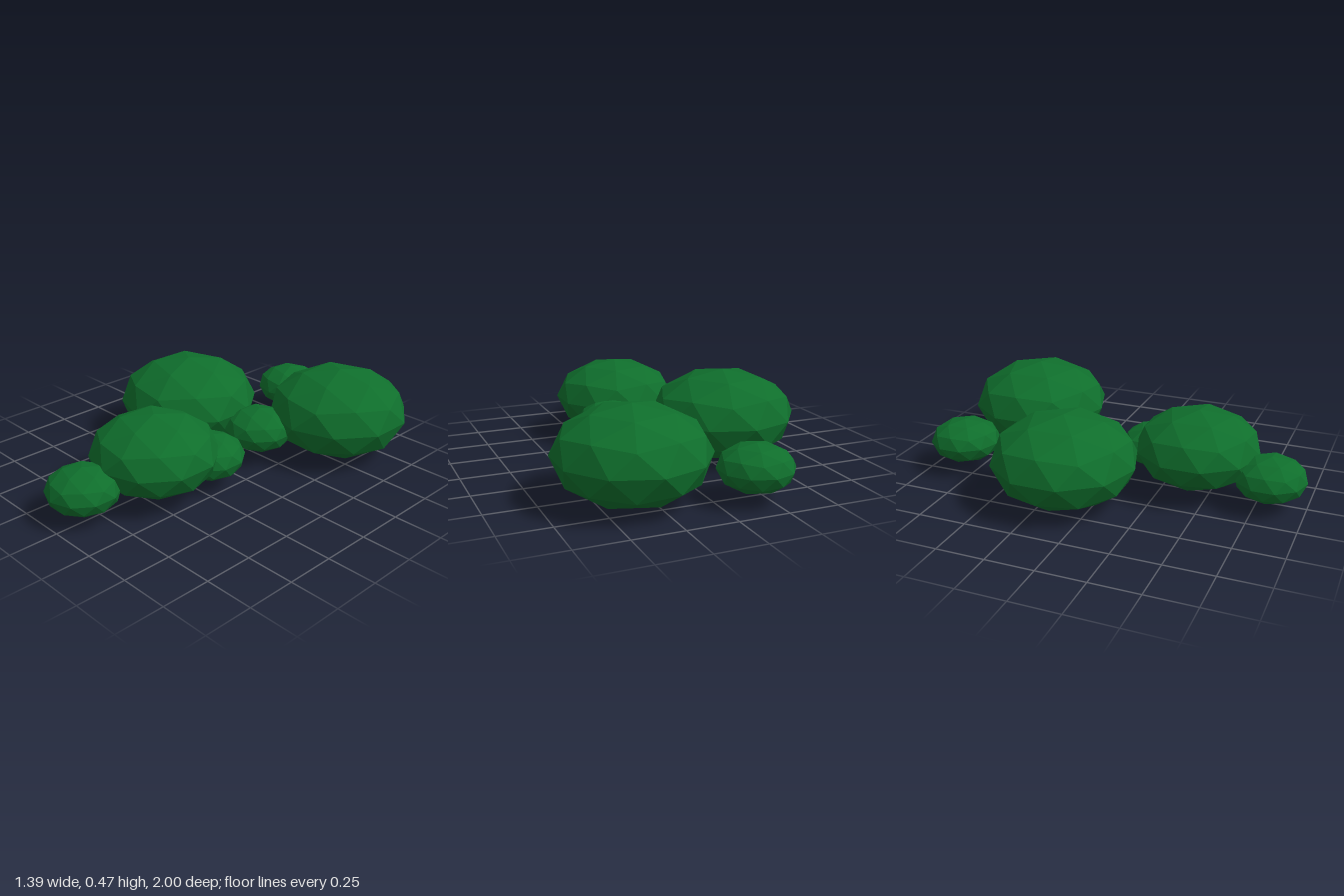
import * as THREE from 'three';

// Cluster of flattened low-poly bushes
export function createModel() {
  const group = new THREE.Group();
  const material = new THREE.MeshStandardMaterial({ color: 0x0f6e2c, flatShading: true });

  // Faceted ball turned so that one corner points straight up
  const ball = new THREE.IcosahedronGeometry(1, 1);
  ball.rotateZ(-Math.atan(2 / (1 + Math.sqrt(5))));

  const flatness = 0.625;
  const addBush = (name, radius, x, y, z) => {
    const bush = new THREE.Mesh(ball, material);
    bush.name = name;
    bush.scale.set(radius, radius * flatness, radius);
    bush.position.set(x, y, z);
    group.add(bush);
  };

  // Large bushes
  addBush('largeBushRight', 0.373, -0.345, 0.236, -0.152);
  addBush('largeBushLeft', 0.373, 0.34, 0.236, -0.613);
  addBush('mediumBush', 0.324, 0.033, 0.236, 0.423);

  // Small bushes
  addBush('smallBushFront', 0.184, -0.03, 0.157, 0.815);
  addBush('smallBushMiddle', 0.184, 0.145, 0.167, 0.163);
  addBush('smallBushInner', 0.184, 0.105, 0.167, -0.245);
  addBush('smallBushBack', 0.184, -0.178, 0.167, -0.816);

  return group;
}
